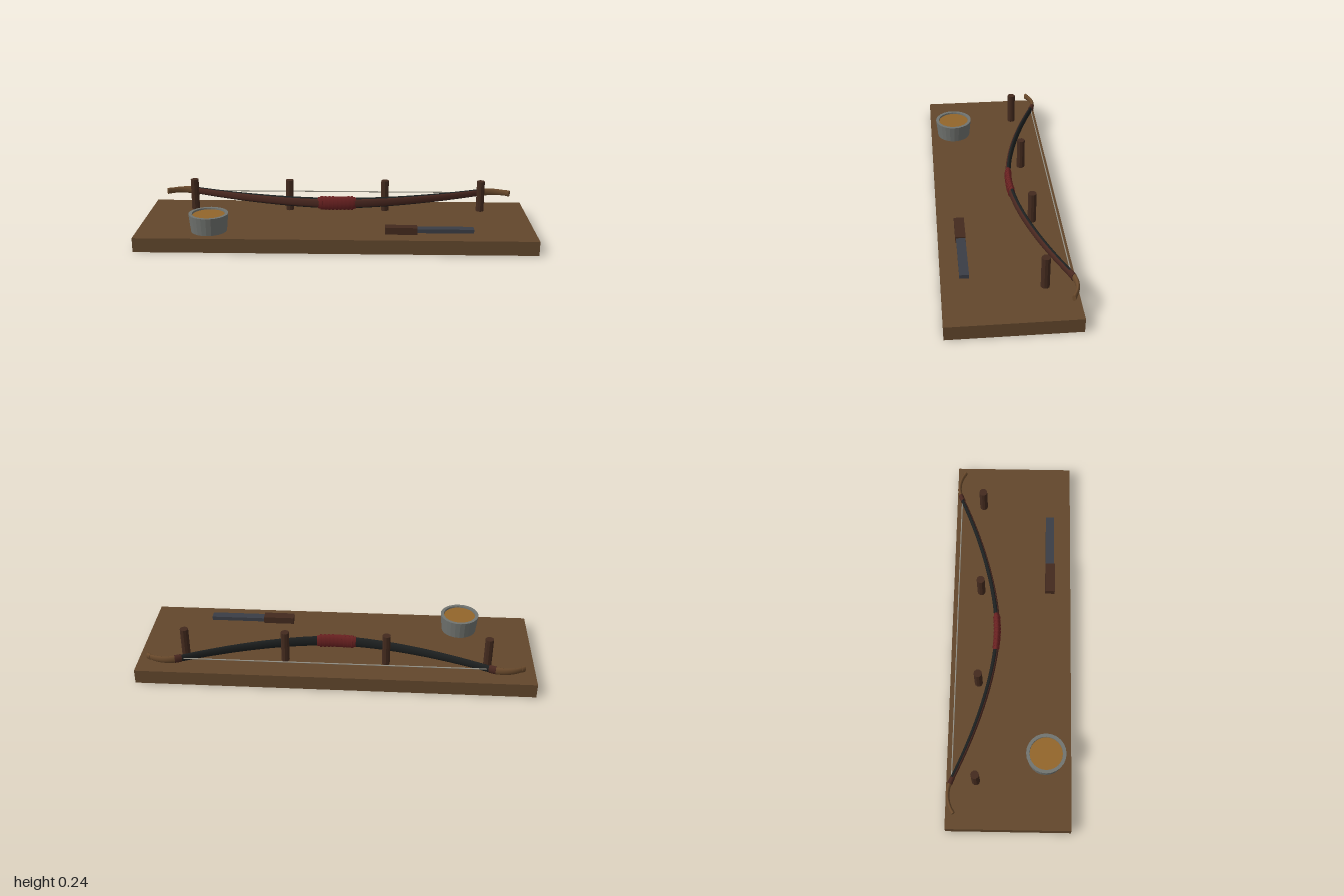
import * as THREE from 'three';

const material = (name, color, extra = {}) => {
  const m = new THREE.MeshStandardMaterial({ color, ...extra });
  m.name = name;
  return m;
};

// Bow centreline seen from above: a curved limb, then a recurved tip
const LIMB_END = 0.77;
const BOW_Y = 0.138;
function bowZ(x) {
  const a = Math.abs(x), u = a - LIMB_END;
  if (u < 0) return -0.073 - 0.208 * Math.pow(a / LIMB_END, 1.7);
  return -0.281 - 0.459 * u + 3.4 * u * u;
}

// Sweeps an oval along the bow from x0 to x1; size(|x|) gives [half height, half depth, forward offset]
function bowSweep(x0, x1, steps, size, sides = 12) {
  const pos = [], index = [];
  const ring = (x, scale) => {
    const slope = (bowZ(x + 1e-4) - bowZ(x - 1e-4)) / 2e-4;
    const len = Math.hypot(1, slope);
    const nx = -slope / len, nz = 1 / len;
    const [h, d, off] = size(Math.abs(x));
    for (let j = 0; j < sides; j++) {
      const a = (j / sides) * Math.PI * 2;
      const n = off + d * Math.sin(a) * scale;
      pos.push(x + nx * n, BOW_Y + h * Math.cos(a) * scale, bowZ(x) + nz * n);
    }
  };
  const xs = Array.from({ length: steps + 1 }, (_, i) => x0 + ((x1 - x0) * i) / steps);
  const bridge = (r) => {
    for (let j = 0; j < sides; j++) {
      const a = r * sides + j, b = r * sides + ((j + 1) % sides);
      index.push(a, b, a + sides, b, b + sides, a + sides);
    }
  };
  // Separate collapsed rings close both ends with a hard edge
  ring(x0, 0); ring(x0, 1);
  bridge(0);
  xs.forEach((x) => ring(x, 1));
  for (let i = 0; i < steps; i++) bridge(2 + i);
  ring(x1, 1); ring(x1, 0);
  bridge(steps + 3);
  const g = new THREE.BufferGeometry();
  g.setAttribute('position', new THREE.Float32BufferAttribute(pos, 3));
  g.setIndex(index);
  g.computeVertexNormals();
  return g;
}

export function createModel() {
  const root = new THREE.Group();
  root.name = 'bowDisplay';

  const board = material('boardWood', 0x62472c);
  const darkWood = material('darkWood', 0x432a1e, { flatShading: true });
  const limbWood = material('limbWood', 0x4a2820);
  const horn = material('blackHorn', 0x1d2020);
  const leather = material('redLeather', 0x6a2121);
  const bone = material('tipBone', 0x6a4a2c);
  const steel = material('bladeSteel', 0x3a3d45);
  const stone = material('potGrey', 0x70736f, { flatShading: true });
  const glue = material('amberGlue', 0x93662b);
  const cord = material('stringCord', 0x9c988c);

  const add = (parent, name, geometry, mat, x = 0, y = 0, z = 0) => {
    const mesh = new THREE.Mesh(geometry, mat);
    mesh.name = name;
    mesh.position.set(x, y, z);
    parent.add(mesh);
    return mesh;
  };

  // Board
  const top = 0.073;
  add(root, 'board', new THREE.BoxGeometry(2, top, 0.62), board, 0, top / 2, 0);

  // Row of pegs
  const pegGeometry = new THREE.CylinderGeometry(0.021, 0.021, 0.164, 10);
  for (let i = 0; i < 4; i++) {
    add(root, 'peg', pegGeometry, darkWood, -0.763 + i * 0.5085, top + 0.082, -0.1635);
  }

  // Bow limbs: dark back with a wooden strip along the front
  const bow = new THREE.Group();
  bow.name = 'bow';
  root.add(bow);
  const taper = (from, to) => (a) => from + (to - from) * (a / 0.8);
  const backH = taper(0.03, 0.019), frontH = taper(0.023, 0.016);
  const backD = taper(0.013, 0.009);
  add(bow, 'limbBack', bowSweep(-0.79, 0.79, 64, (a) => [backH(a), backD(a), -0.001]), horn);
  add(bow, 'limbFront', bowSweep(-0.79, 0.79, 64, (a) => [frontH(a), 0.007, backD(a) - 0.005]), limbWood);

  // Grip with tapered ends and raised wrapping
  const gripSize = (a) => {
    const t = Math.max(0, (a - 0.075) / 0.025);
    return [0.0365 - 0.006 * t, 0.017 - 0.003 * t, 0];
  };
  add(bow, 'grip', bowSweep(-0.1, 0.1, 16, gripSize), leather);
  for (let i = 0; i < 9; i++) {
    const x = -0.08 + i * 0.02;
    add(bow, 'gripWrap', bowSweep(x - 0.005, x + 0.005, 1, () => [0.038, 0.0185, 0]), leather);
  }

  // Bindings and recurved tips, one pair on each end
  for (const s of [-1, 1]) {
    const span = (a, b, steps, size) =>
      s > 0 ? bowSweep(a, b, steps, size) : bowSweep(-b, -a, steps, size);
    add(bow, 'binding', span(0.76, 0.792, 3, () => [0.022, 0.013, 0.001]), limbWood);
    add(bow, 'tip', span(0.785, 0.925, 14, (a) => {
      const t = (a - 0.785) / 0.14;
      return [0.021 - 0.006 * t, 0.011 - 0.004 * t, 0];
    }), bone);
    add(bow, 'nock', span(0.915, 0.933, 2, () => [0.017, 0.009, 0]), bone);
  }

  // Bowstring
  const string = add(bow, 'string', new THREE.CylinderGeometry(0.003, 0.003, 1.57, 6), cord, 0, BOW_Y, -0.28);
  string.rotation.z = Math.PI / 2;

  // Pot of glue
  const profile = [[0, 0], [0.09, 0], [0.0995, 0.091], [0.083, 0.091], [0.08, 0.07]]
    .map(([r, y]) => new THREE.Vector2(r, y));
  add(root, 'pot', new THREE.LatheGeometry(profile, 24), stone, -0.637, top, 0.182);
  const surface = add(root, 'glueSurface', new THREE.CircleGeometry(0.083, 24), glue, -0.637, top + 0.083, 0.182);
  surface.rotation.x = -Math.PI / 2;

  // Scraping tool
  add(root, 'toolHandle', new THREE.BoxGeometry(0.16, 0.035, 0.05), darkWood, 0.328, top + 0.0175, 0.201);
  add(root, 'toolBlade', new THREE.BoxGeometry(0.285, 0.02, 0.045), steel, 0.546, 0.091, 0.2);

  return root;
}
